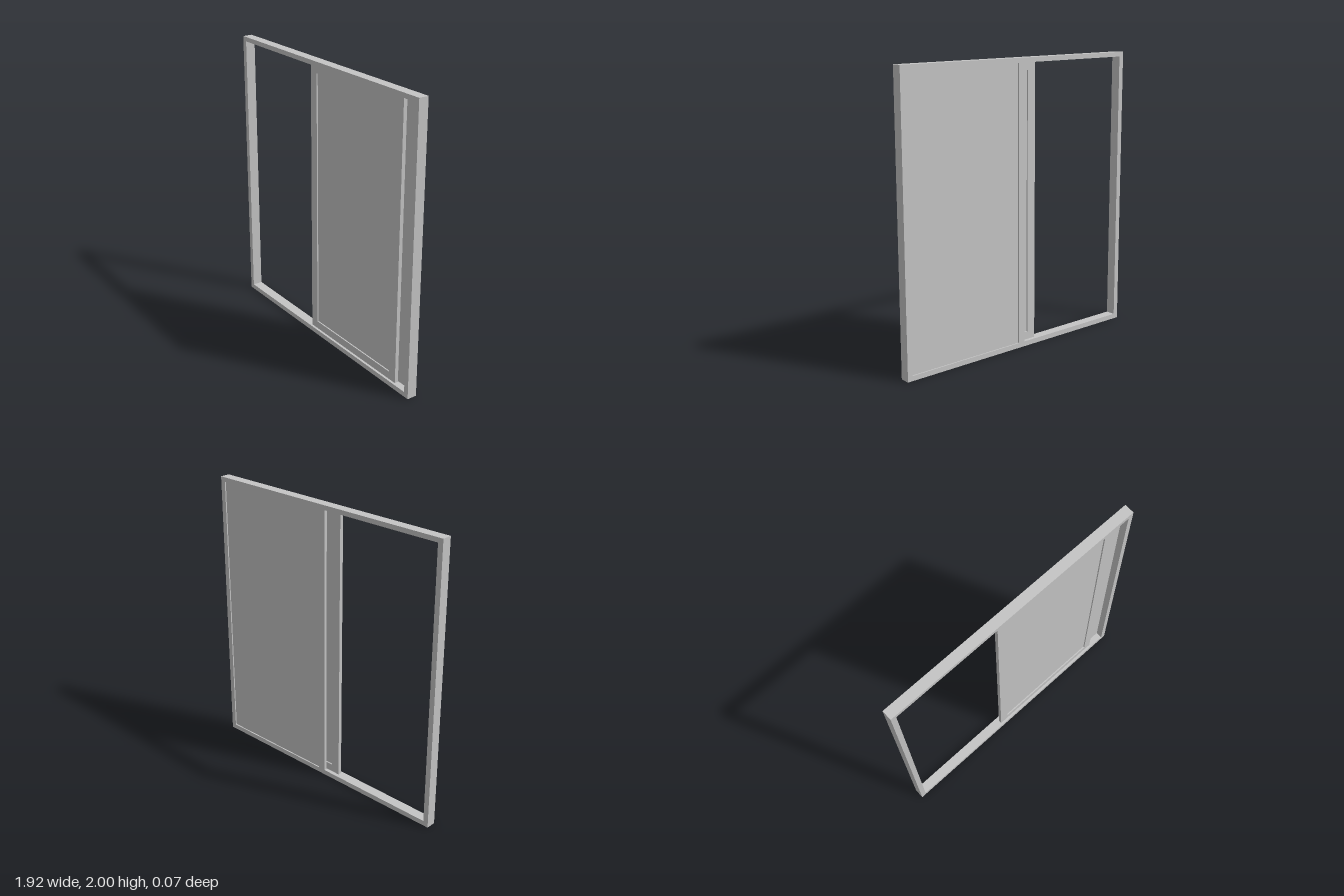
import * as THREE from 'three';

// Rectangle path from opposite corners
function rect(PathType, x0, y0, x1, y1) {
  const p = new PathType();
  p.moveTo(x0, y0);
  p.lineTo(x1, y0);
  p.lineTo(x1, y1);
  p.lineTo(x0, y1);
  p.closePath();
  return p;
}

// Rectangular surround with an opening, extruded between z0 and z1
function surround(outer, inner, z0, z1) {
  const shape = rect(THREE.Shape, ...outer);
  shape.holes.push(rect(THREE.Path, ...inner));
  const geo = new THREE.ExtrudeGeometry(shape, { depth: z1 - z0, bevelEnabled: false });
  return geo.translate(0, 0, z0);
}

function block([x0, y0, x1, y1], z0, z1) {
  const geo = new THREE.BoxGeometry(x1 - x0, y1 - y0, z1 - z0);
  return geo.translate((x0 + x1) / 2, (y0 + y1) / 2, (z0 + z1) / 2);
}

export function createModel() {
  const model = new THREE.Group();
  model.name = 'slidingDoor';
  const grey = new THREE.MeshStandardMaterial({ color: 0xc4c4c4 });
  grey.name = 'grey';

  const add = (name, geometry) => {
    const mesh = new THREE.Mesh(geometry, grey);
    mesh.name = name;
    model.add(mesh);
  };

  const opening = [-0.923, 0.035, 0.923, 1.968];
  const door = [-0.138, 0.035, 0.808, 1.968];
  const doorGlass = [-0.073, 0.09, 0.747, 1.915];

  // Outer frame with a centre post at the back
  add('outerFrame', surround([-0.96, 0, 0.96, 2], opening, -0.035, 0.035));
  add('centrePost', block([-0.025, 0.035, 0.027, 1.968], -0.035, -0.012));

  // Fixed pane set just inside the back of the frame
  add('fixedPane', block([0.027, 0.035, 0.923, 1.968], -0.026, -0.014));

  // Sliding leaf in front, with a recessed pane
  add('slidingLeafFrame', surround(door, doorGlass, -0.008, 0.018));
  add('slidingLeafPane', block(doorGlass, 0.001, 0.009));

  return model;
}
